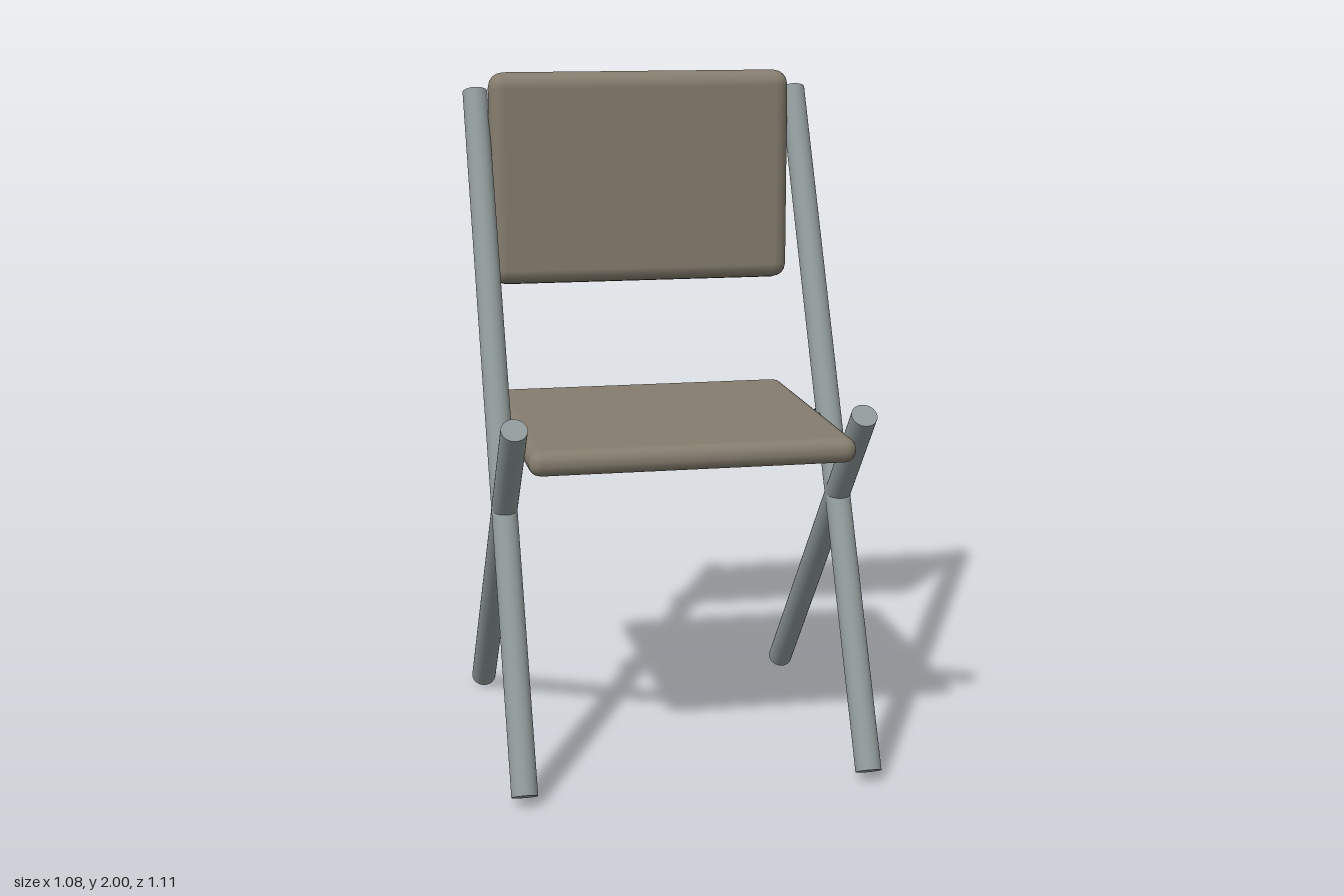
import * as THREE from 'three';
import { RoundedBoxGeometry } from 'three/addons/geometries/RoundedBoxGeometry.js';

const LEG_X = 0.503;
const LEG_RADIUS = 0.038;

export function createModel() {
  const chair = new THREE.Group();
  chair.name = 'foldingChair';

  const metal = new THREE.MeshStandardMaterial({ color: 0x8f9999 });
  const padding = new THREE.MeshStandardMaterial({ color: 0x857d6e });
  const darkMetal = new THREE.MeshStandardMaterial({ color: 0x2f414b });

  function add(name, geometry, material) {
    const mesh = new THREE.Mesh(geometry, material);
    mesh.name = name;
    chair.add(mesh);
    return mesh;
  }

  // Straight tube between two points in the side plane, given as [y, z]
  function addTube(name, x, [y0, z0], [y1, z1]) {
    const start = new THREE.Vector3(x, y0, z0);
    const end = new THREE.Vector3(x, y1, z1);
    const axis = end.clone().sub(start);
    const tube = add(name, new THREE.CylinderGeometry(LEG_RADIUS, LEG_RADIUS, axis.length(), 32), metal);
    tube.position.copy(start).add(end).multiplyScalar(0.5);
    tube.quaternion.setFromUnitVectors(new THREE.Vector3(0, 1, 0), axis.normalize());
  }

  // Softly rounded pad filling a y and z range
  function addPad(name, y0, y1, z0, z1, radius) {
    const pad = add(name, new RoundedBoxGeometry(0.94, y1 - y0, z1 - z0, 2, radius), padding);
    pad.position.set(0, (y0 + y1) / 2, (z0 + z1) / 2);
  }

  // Crossed legs and hinge on each side
  for (const [side, s] of [['left', 1], ['right', -1]]) {
    addTube(side + 'FrontLegAndBackPost', s * LEG_X, [0.03, 0.525], [1.938, -0.462]);
    addTube(side + 'RearLeg', s * LEG_X, [0.03, -0.527], [1.064, 0.41]);

    const hinge = add(side + 'Hinge', new THREE.CylinderGeometry(0.054, 0.054, 0.055, 24), darkMetal);
    hinge.rotation.z = Math.PI / 2;
    hinge.position.set(s * 0.496, 0.95, 0.018);
  }

  // Seat and backrest
  addPad('seat', 0.937, 1.012, -0.44, 0.477, 0.036);
  addPad('backrest', 1.348, 2.0, -0.447, -0.352, 0.046);

  return chair;
}
